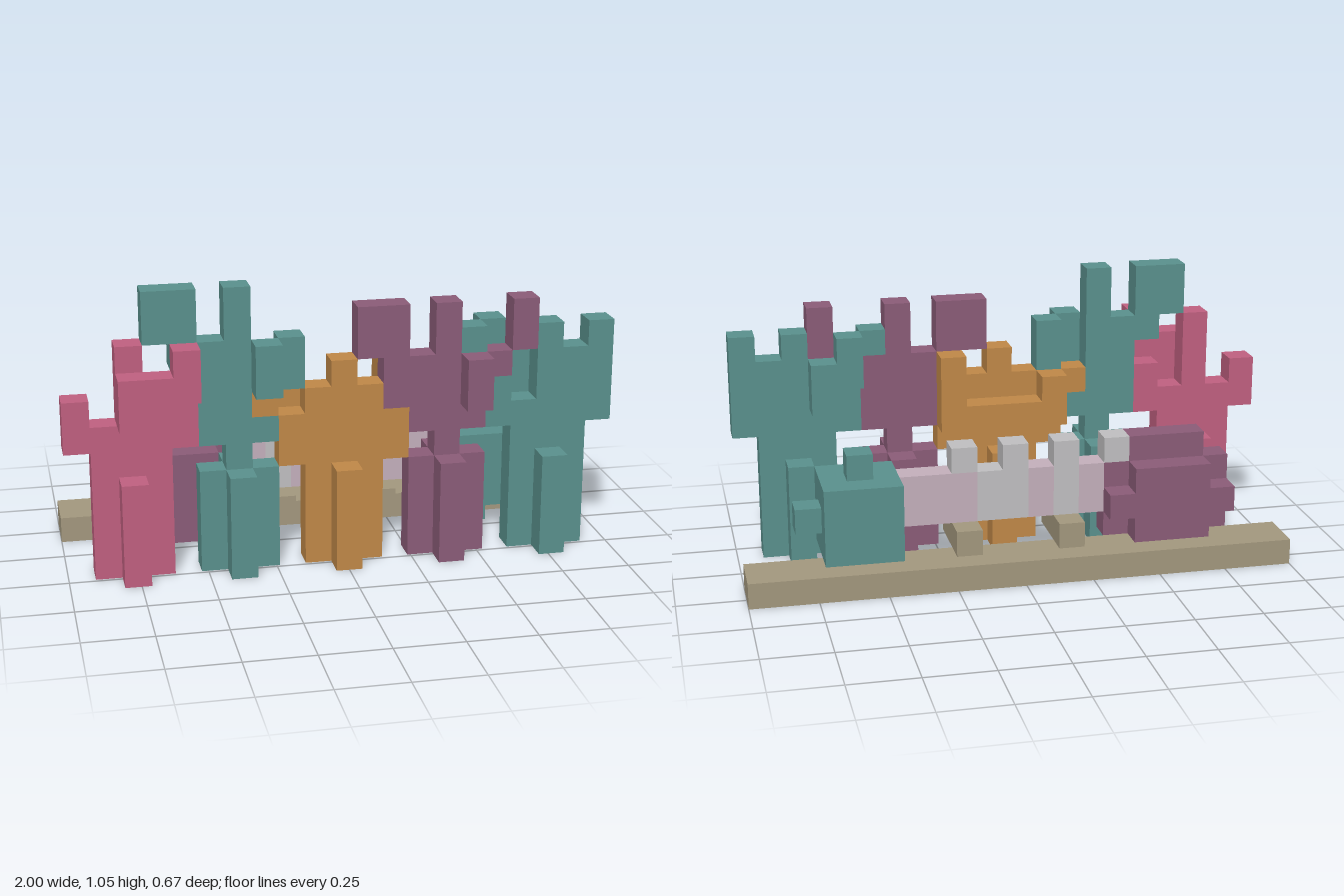
import * as THREE from 'three';

const U = 2 / 21; // one block

const paint = (name, color) => {
  const m = new THREE.MeshStandardMaterial({ color });
  m.name = name;
  return m;
};

export function createModel() {
  const teal = paint('teal', 0x5a918d);
  const pink = paint('pink', 0xc06080);
  const purple = paint('purple', 0x8b5c78);
  const orange = paint('orange', 0xc08848);
  const tan = paint('tan', 0xa3987e);
  const grey = paint('grey', 0xc0bfc1);
  const mauve = paint('mauve', 0xc4b0bc);

  const root = new THREE.Group();
  root.name = 'figures';

  const section = (name) => {
    const g = new THREE.Group();
    g.name = name;
    root.add(g);
    return g;
  };

  // Inclusive block ranges: columns x0..x1, rows y0..y1, layers z0..z1 (back to front)
  const box = (group, name, mat, x0, x1, y0, y1, z0, z1 = z0) => {
    const w = (x1 - x0 + 1) * U, h = (y1 - y0 + 1) * U, d = (z1 - z0 + 1) * U;
    const mesh = new THREE.Mesh(new THREE.BoxGeometry(w, h, d), mat);
    mesh.name = name;
    mesh.position.set(-1 + x0 * U + w / 2, y0 * U + h / 2, -3.5 * U + z0 * U + d / 2);
    group.add(mesh);
  };

  // Plus-shaped legs shared by every figure
  const figure = (name, mat, c, parts) => {
    const g = section(name);
    box(g, 'legs', mat, c - 1, c + 1, 0, 3, 5);
    box(g, 'frontLeg', mat, c, c, 0, 3, 6);
    box(g, 'backLeg', mat, c, c, 0, 3, 4);
    for (const [part, ...range] of parts) box(g, part, mat, ...range);
  };

  figure('firstFigure', pink, 2, [
    ['waist', 1, 3, 4, 4, 5],
    ['shoulders', 0, 4, 5, 5, 5],
    ['rightHand', 0, 0, 6, 6, 5],
    ['leftWrist', 4, 4, 6, 6, 5],
    ['head', 2, 2, 6, 8, 5],
    ['frontArm', 2, 3, 6, 7, 6],
    ['frontHand', 4, 4, 7, 8, 6],
  ]);

  figure('secondFigure', teal, 6, [
    ['waist', 6, 6, 4, 4, 5],
    ['hips', 5, 7, 5, 5, 5],
    ['chest', 5, 6, 6, 8, 5],
    ['head', 6, 6, 9, 10, 5],
    ['rightArm', 4, 4, 8, 8, 5],
    ['rightHand', 3, 4, 9, 10, 5],
    ['frontArm', 7, 7, 7, 8, 6],
    ['leftHand', 8, 8, 7, 8, 5],
  ]);

  figure('thirdFigure', orange, 10, [
    ['chest', 8, 12, 4, 5, 5],
    ['neck', 9, 11, 6, 6, 5],
    ['head', 10, 10, 7, 7, 5],
    ['rightHand', 7, 7, 6, 6, 5],
    ['backArms', 8, 12, 5, 5, 4],
    ['rightElbow', 8, 8, 6, 6, 4],
    ['leftHand', 12, 12, 6, 7, 4],
  ]);

  figure('fourthFigure', purple, 14, [
    ['waist', 14, 14, 4, 4, 5],
    ['hips', 13, 15, 5, 5, 5],
    ['chest', 12, 15, 6, 7, 5],
    ['head', 14, 14, 8, 9, 5],
    ['rightHand', 11, 12, 8, 9, 5],
    ['frontArm', 15, 15, 6, 7, 6],
    ['leftArm', 16, 16, 7, 7, 5],
    ['leftHand', 17, 17, 8, 9, 5],
  ]);

  figure('fifthFigure', teal, 18, [
    ['waist', 17, 19, 4, 4, 5],
    ['shoulders', 16, 20, 5, 5, 5],
    ['rightElbow', 16, 16, 6, 6, 5],
    ['head', 18, 18, 6, 8, 5],
    ['leftShoulder', 19, 19, 6, 7, 5],
    ['leftArm', 20, 20, 6, 8, 5],
    ['backArm', 17, 17, 6, 7, 4],
    ['backHand', 16, 16, 7, 8, 4],
    ['rightHand', 15, 15, 8, 8, 5],
  ]);

  // Base board with two cross feet
  const base = section('base');
  box(base, 'board', tan, 0, 20, 0, 0, 0, 1);
  for (const x of [8, 12]) box(base, 'foot', tan, x, x, 1, 1, 1, 3);

  // Purple end piece: block with stepped faces
  const left = section('purpleEnd');
  box(left, 'core', purple, 3, 5, 1, 3, 1, 3);
  box(left, 'ridge', purple, 3, 5, 4, 4, 2);
  box(left, 'keel', purple, 3, 5, 0, 0, 2);
  for (const x of [2, 6]) {
    box(left, 'capUpright', purple, x, x, 1, 3, 2);
    box(left, 'capBack', purple, x, x, 2, 2, 1);
    box(left, 'capFront', purple, x, x, 2, 2, 3);
  }

  // Teal end piece: cube with a stud on each open face
  const right = section('tealEnd');
  box(right, 'core', teal, 15, 17, 1, 3, 1, 3);
  box(right, 'topStud', teal, 16, 16, 4, 4, 2);
  box(right, 'bottomStud', teal, 16, 16, 0, 0, 2);
  box(right, 'sideStud', teal, 18, 18, 2, 2, 2);

  // Banded bar joining the end pieces, with raised teeth
  const bar = section('bar');
  for (let x = 7; x <= 14; x++) {
    box(bar, 'band', [8, 10, 11].includes(x) ? grey : mauve, x, x, 2, 3, 2);
  }
  for (const x of [6, 8, 10, 12]) box(bar, 'tooth', grey, x, x, 4, 4, 2);

  return root;
}
